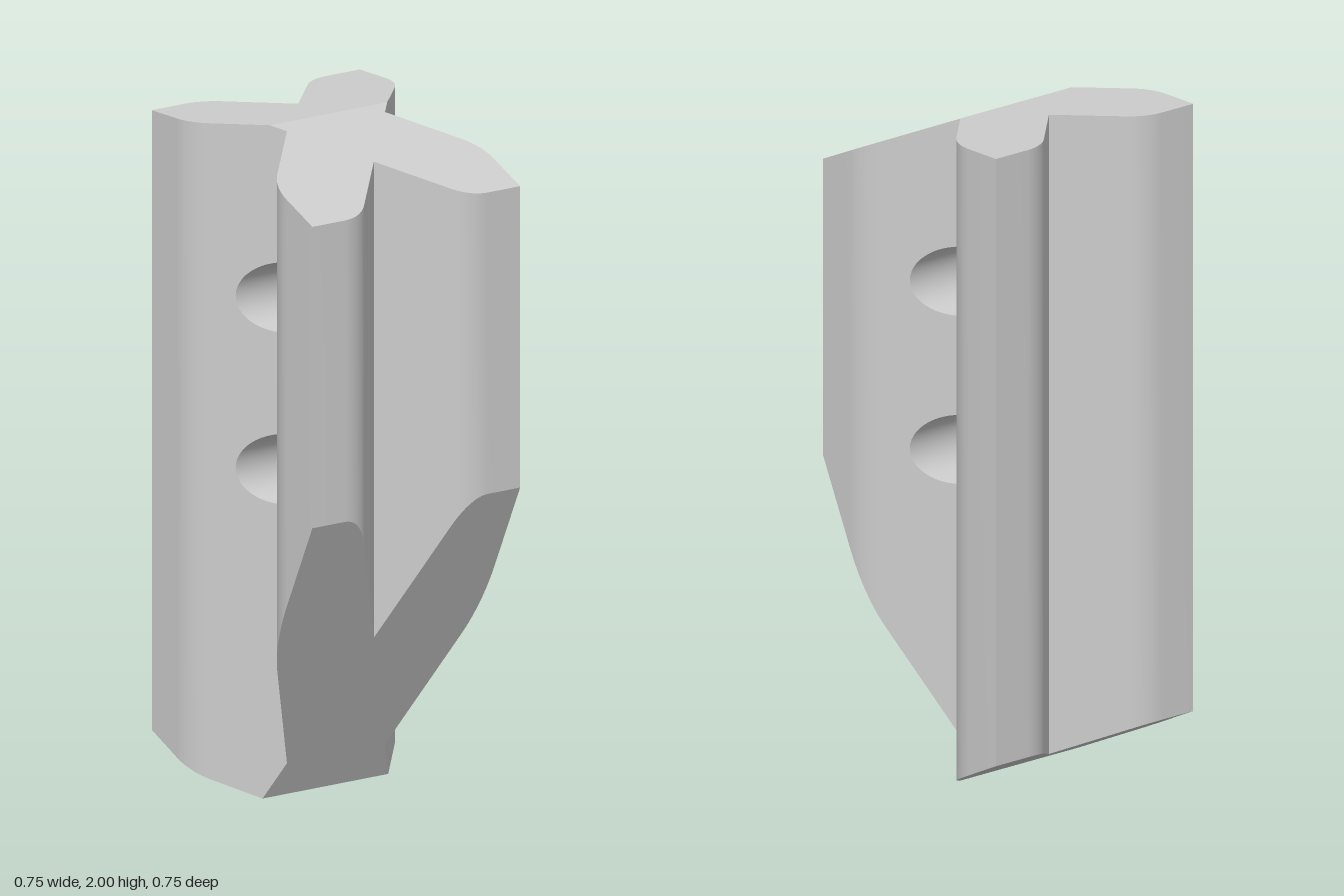
import * as THREE from 'three';
import { toCreasedNormals } from 'three/addons/utils/BufferGeometryUtils.js';

const HALF = 0.377;          // half width of the square envelope
const NOTCH = 0.178;         // distance of each notch's inner edge from the axis
const FILLET = 0.145;        // radius of the rounded arm shoulders
const STRAIGHT = HALF - FILLET * (1 - Math.SQRT1_2) - NOTCH; // depth of the straight notch wall
const TOP_RIDGE = -0.035, BOTTOM_RIDGE = -0.05;              // z of the ridges on the end cuts
const BORE_R = 0.105, BORE_Y = [1.49, 0.98], BORE_SEG = 48;

// Heights of the slanted end cuts
const topY = z => z < TOP_RIDGE ? 2 : 2 - 0.461 * (z - TOP_RIDGE);
const bottomY = z => z < BOTTOM_RIDGE ? 0.489 * (BOTTOM_RIDGE - z) : 2.143 * (z - BOTTOM_RIDGE);

// X-shaped cross-section as (x, z) points: one arm, turned four times
function crossSection() {
  const steps = 10, arc = [];
  const shoulder = HALF - NOTCH + FILLET * Math.tan(Math.PI / 8);
  for (let i = 0; i <= steps; i++) {
    const a = Math.PI / 4 * (1 - i / steps);
    arc.push([HALF - FILLET + FILLET * Math.cos(a), shoulder - FILLET * Math.sin(a)]);
  }
  const arm = [[NOTCH, 0], ...arc, [HALF, HALF], ...arc.map(([x, z]) => [z, x]).reverse()];
  let points = [];
  for (let q = 0; q < 4; q++) {
    points.push(...arm.map(([x, z]) => {
      for (let k = 0; k < q; k++) [x, z] = [-z, x];
      return new THREE.Vector2(x, z);
    }));
  }
  // Add points where the ridges cross the outline
  for (const ridge of [TOP_RIDGE, BOTTOM_RIDGE]) {
    points = points.flatMap((a, i) => {
      const b = points[(i + 1) % points.length];
      if ((a.y - ridge) * (b.y - ridge) >= 0) return [a];
      return [a, a.clone().lerp(b, (ridge - a.y) / (b.y - a.y))];
    });
  }
  return points;
}

// Flat shape whose 2D points are moved into space by a rule
function mappedShape(points, place, flip) {
  const geometry = new THREE.ShapeGeometry(new THREE.Shape(points));
  const pos = geometry.attributes.position;
  for (let i = 0; i < pos.count; i++) pos.setXYZ(i, ...place(pos.getX(i), pos.getY(i)));
  if (flip) geometry.index.array.reverse();
  geometry.computeVertexNormals();
  return geometry;
}

// Outer walls, leaving out the drilled side notches
function outerWalls(outline) {
  const vertices = [];
  const inNotch = p => Math.abs(p.y) < STRAIGHT + 1e-5;
  outline.forEach((a, i) => {
    const b = outline[(i + 1) % outline.length];
    if (inNotch(a) && inNotch(b)) return;
    const aB = [a.x, bottomY(a.y), a.y], aT = [a.x, topY(a.y), a.y];
    const bB = [b.x, bottomY(b.y), b.y], bT = [b.x, topY(b.y), b.y];
    vertices.push(...aB, ...aT, ...bT, ...aB, ...bT, ...bB);
  });
  const geometry = new THREE.BufferGeometry();
  geometry.setAttribute('position', new THREE.Float32BufferAttribute(vertices, 3));
  return toCreasedNormals(geometry, 0.3);
}

// One side-notch wall in (z, y), with half circles bitten out of its inner edge
function notchWall(side, dir) {
  const bottom = dir < 0 ? [0, BOTTOM_RIDGE, -STRAIGHT] : [0, STRAIGHT];
  const top = dir < 0 ? [-STRAIGHT, TOP_RIDGE, 0] : [STRAIGHT, 0];
  const points = [
    ...bottom.map(z => new THREE.Vector2(z, bottomY(z))),
    ...top.map(z => new THREE.Vector2(z, topY(z))),
  ];
  for (const y of BORE_Y) {
    for (let i = 0; i <= BORE_SEG / 2; i++) {
      const a = Math.PI / 2 - i * 2 * Math.PI / BORE_SEG;
      points.push(new THREE.Vector2(dir * BORE_R * Math.cos(a), y + BORE_R * Math.sin(a)));
    }
  }
  return mappedShape(points, (z, y) => [side * (NOTCH + Math.abs(z)), y, z], side > 0);
}

// Inside of a cross bore, its ends following the notch walls
function boreSurface(y) {
  const geometry = new THREE.CylinderGeometry(BORE_R, BORE_R, 2, BORE_SEG, 1, true);
  geometry.rotateZ(Math.PI / 2);
  const { position, normal } = geometry.attributes;
  for (let i = 0; i < position.count; i++) {
    position.setX(i, Math.sign(position.getX(i)) * (NOTCH + Math.abs(position.getZ(i))));
    normal.setXYZ(i, -normal.getX(i), -normal.getY(i), -normal.getZ(i));
  }
  geometry.index.array.reverse();
  return geometry.translate(0, y, 0);
}

export function createModel() {
  const model = new THREE.Group();
  model.name = 'crossSectionPost';
  const material = new THREE.MeshStandardMaterial({ color: 0xcccccc });
  const add = (name, geometry) => {
    const mesh = new THREE.Mesh(geometry, material);
    mesh.name = name;
    model.add(mesh);
  };

  const outline = crossSection();
  add('outerWalls', outerWalls(outline));

  // End cuts, each split at its ridge
  const ends = [['top', TOP_RIDGE, topY, true], ['bottom', BOTTOM_RIDGE, bottomY, false]];
  for (const [name, ridge, height, flip] of ends) {
    for (const [part, dir] of [['Front', 1], ['Back', -1]]) {
      const half = outline.filter(p => (p.y - ridge) * dir > -1e-6);
      add(name + part + 'Cut', mappedShape(half, (x, z) => [x, height(z), z], flip));
    }
  }

  // Drilled side notches
  for (const [name, side] of [['left', 1], ['right', -1]]) {
    add(name + 'NotchFrontWall', notchWall(side, 1));
    add(name + 'NotchBackWall', notchWall(side, -1));
  }
  BORE_Y.forEach((y, i) => add(['upper', 'lower'][i] + 'Bore', boreSurface(y)));
  return model;
}
